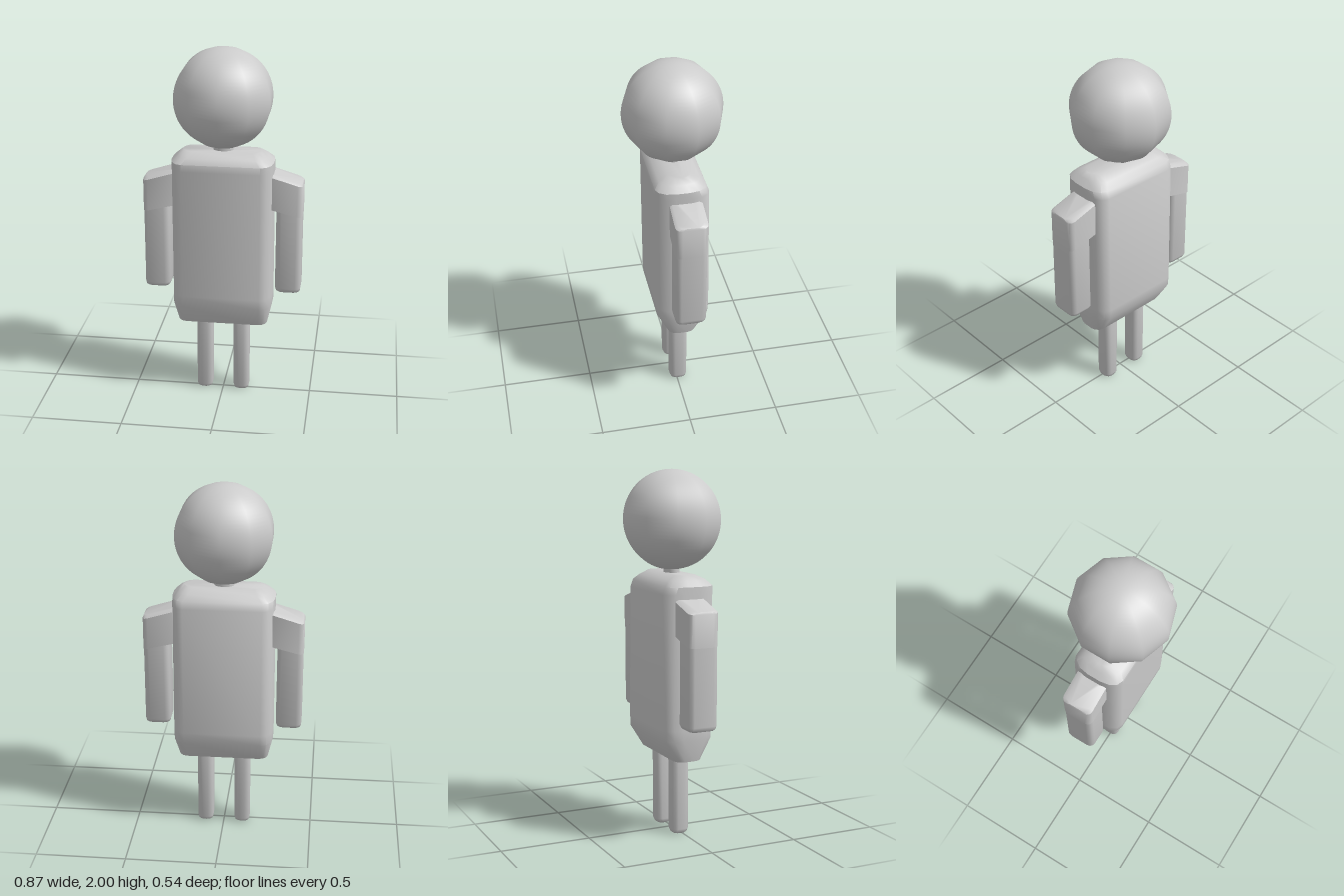
import * as THREE from 'three';
import { toCreasedNormals } from 'three/addons/utils/BufferGeometryUtils.js';

const material = new THREE.MeshStandardMaterial({ color: 0xcccccc });

// Closed loft through rounded rectangles, bottom to top.
// Each ring: [y, x0, x1, z0, z1, cornerX, cornerZ, slope of y along |x|]
function loft(rings, side = 1, crease = 0.75, steps = 3) {
  const pos = [], index = [];
  const n = 4 * (steps + 1);
  for (const [y, x0, x1, z0, z1, rx, rz, slope = 0] of rings) {
    for (let c = 0; c < 4; c++) {
      for (let k = 0; k <= steps; k++) {
        const a = (c + k / steps) * Math.PI / 2;
        const px = c === 0 || c === 3 ? x1 - rx : x0 + rx;
        const pz = c < 2 ? z0 + rz : z1 - rz;
        const x = px + rx * Math.cos(a);
        pos.push(side * x, y + slope * (x - x0), pz - rz * Math.sin(a));
      }
    }
  }
  const tri = (a, b, c) => (side > 0 ? index.push(a, b, c) : index.push(a, c, b));
  for (let j = 0; j < rings.length - 1; j++) {
    for (let i = 0; i < n; i++) {
      const a = j * n + i, b = j * n + (i + 1) % n;
      tri(a, b, a + n);
      tri(b, b + n, a + n);
    }
  }
  const top = (rings.length - 1) * n;
  for (let i = 1; i < n - 1; i++) {
    tri(0, i + 1, i);
    tri(top, top + i, top + i + 1);
  }
  const geometry = new THREE.BufferGeometry();
  geometry.setAttribute('position', new THREE.Float32BufferAttribute(pos, 3));
  geometry.setIndex(index);
  return toCreasedNormals(geometry, crease);
}

export function createModel() {
  const model = new THREE.Group();
  const add = (name, geometry) => {
    const mesh = new THREE.Mesh(geometry, material);
    mesh.name = name;
    model.add(mesh);
    return mesh;
  };

  // Head: ten sides around, smooth from top to bottom
  const head = add('head', new THREE.SphereGeometry(0.27, 10, 40));
  head.rotation.y = Math.PI / 2;
  head.position.y = 1.73;

  // Neck
  add('neck', new THREE.CylinderGeometry(0.055, 0.055, 0.08, 16))
    .position.y = 1.45;
  model.getObjectByName('neck').scale.z = 0.75;

  // Torso: tapered hem below, rounded shoulders above
  add('torso', loft([
    [0.44, -0.25, 0.25, -0.085, 0.07, 0.05, 0.05],
    [0.56, -0.277, 0.277, -0.157, 0.13, 0.065, 0.1],
    [0.62, -0.277, 0.277, -0.16, 0.133, 0.065, 0.1],
    [1.35, -0.277, 0.277, -0.152, 0.137, 0.065, 0.1],
    [1.39, -0.277, 0.277, -0.137, 0.137, 0.065, 0.1],
    [1.42, -0.245, 0.245, -0.105, 0.11, 0.06, 0.08],
    [1.445, -0.215, 0.215, -0.06, 0.06, 0.05, 0.05],
  ]));

  for (const [label, side] of [['left', 1], ['right', -1]]) {
    // Arm: slim box with a softened lower end
    add(label + 'Arm', loft([
      [0.645, 0.305, 0.425, -0.085, 0.055, 0.03, 0.03],
      [0.652, 0.298, 0.431, -0.095, 0.063, 0.03, 0.03],
      [0.67, 0.293, 0.434, -0.102, 0.068, 0.03, 0.03],
      [1.24, 0.295, 0.434, -0.102, 0.068, 0.03, 0.03],
    ], side));

    // Shoulder: cap sloping down and outward from the torso
    add(label + 'Shoulder', loft([
      [1.14, 0.24, 0.437, -0.105, 0.07, 0.03, 0.035, -0.25],
      [1.325, 0.24, 0.437, -0.105, 0.07, 0.03, 0.035, -0.3],
      [1.337, 0.24, 0.433, -0.085, 0.055, 0.03, 0.035, -0.31],
    ], side));

    // Leg: thin post with a rounded foot end
    add(label + 'Leg', loft([
      [0.005, 0.073, 0.137, -0.042, 0.024, 0.025, 0.025],
      [0.012, 0.065, 0.145, -0.052, 0.034, 0.03, 0.03],
      [0.03, 0.061, 0.149, -0.058, 0.041, 0.03, 0.03],
      [0.5, 0.059, 0.149, -0.06, 0.041, 0.03, 0.03],
    ], side));
  }

  return model;
}
